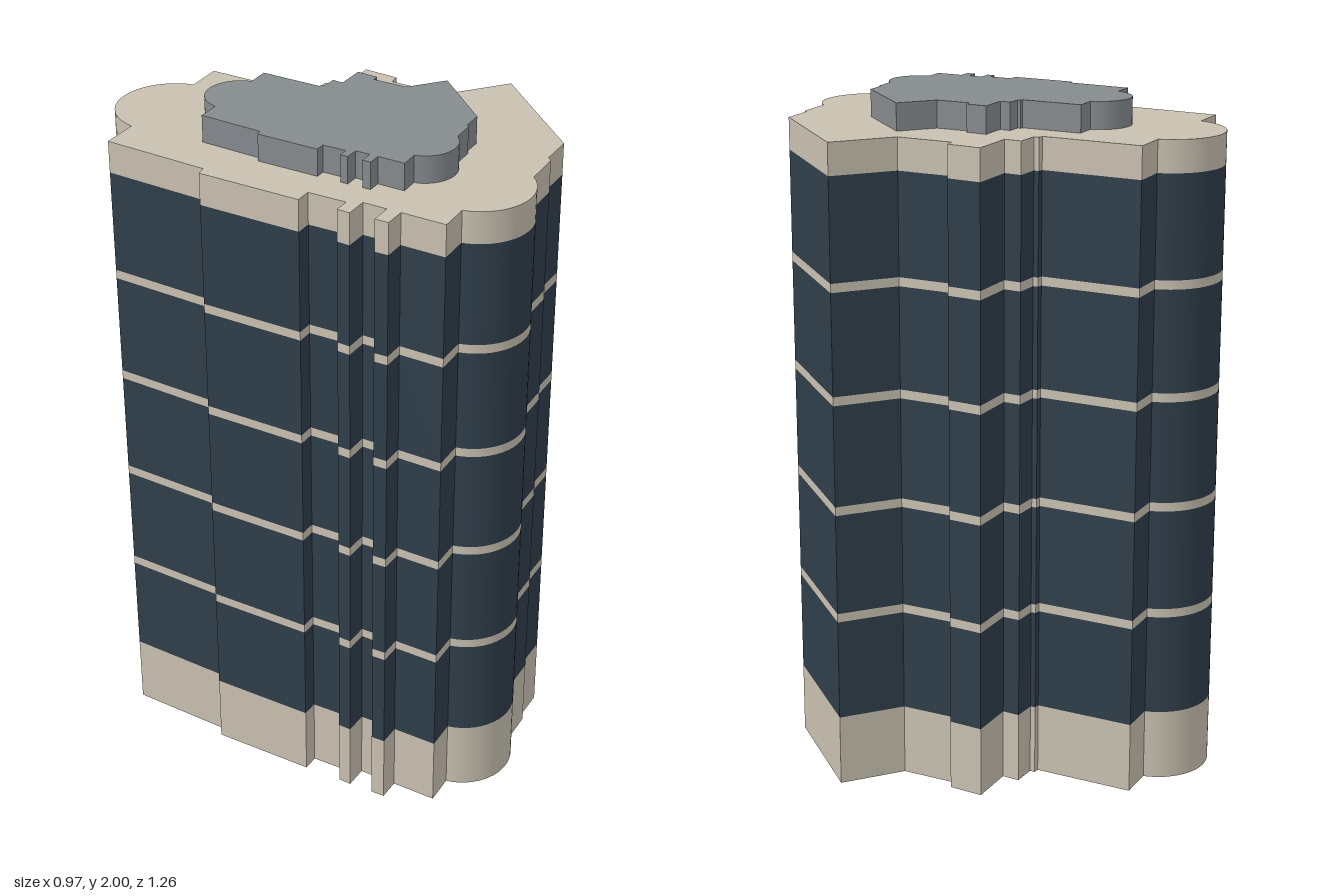
import * as THREE from 'three';
import { toCreasedNormals } from 'three/addons/utils/BufferGeometryUtils.js';

const concrete = new THREE.MeshStandardMaterial({ name: 'concrete', color: 0xc8c0b0 });
const glass = new THREE.MeshStandardMaterial({ name: 'darkGlass', color: 0x2f3e4a });
const roofGrey = new THREE.MeshStandardMaterial({ name: 'roofGrey', color: 0x858a8e });

// Footprint as [x, z]; each side runs between the two rounded bays.
const rightSide = [
  [-0.063, -0.523], [0.043, -0.537], [0.08, -0.24], [0.097, -0.24], [0.099, -0.225],
  [0.17, -0.23], [0.174, -0.178], [0.313, -0.193], [0.32, -0.09], [0.29, -0.084],
  [0.312, 0.084], [0.482, 0.194], [0.243, 0.523], [0.144, 0.537], [0.134, 0.551], [0.025, 0.568],
];
const leftSide = [
  [-0.244, 0.525], [-0.332, 0.538], [-0.347, 0.407], [-0.41, 0.414], [-0.416, 0.374],
  [-0.352, 0.366], [-0.36, 0.296], [-0.427, 0.303], [-0.43, 0.265], [-0.384, 0.26],
  [-0.4, 0.148], [-0.447, 0.153], [-0.484, -0.15], [-0.457, -0.157], [-0.484, -0.47], [-0.374, -0.483],
];

// Rounded bay from one point to another about a centre
function addBay(shape, from, to, [cx, cz]) {
  const angle = ([x, z]) => Math.atan2(cz - z, x - cx);
  const radius = Math.hypot(from[0] - cx, from[1] - cz);
  shape.absarc(cx, -cz, radius, angle(from), angle(to), true);
}

function footprint() {
  const shape = new THREE.Shape();
  rightSide.forEach(([x, z], i) => (i ? shape.lineTo(x, -z) : shape.moveTo(x, -z)));
  addBay(shape, rightSide.at(-1), leftSide[0], [-0.098, 0.477]);
  leftSide.slice(1).forEach(([x, z]) => shape.lineTo(x, -z));
  addBay(shape, leftSide.at(-1), rightSide[0], [-0.215, -0.473]);
  return shape;
}

export function createModel() {
  const group = new THREE.Group();
  group.name = 'tower';
  const shape = footprint();

  function addLayer(name, bottom, top, material, scale = 1, x = 0, z = 0) {
    let geometry = new THREE.ExtrudeGeometry(shape, { depth: top - bottom, bevelEnabled: false, curveSegments: 10 });
    geometry.rotateX(-Math.PI / 2);
    geometry = toCreasedNormals(geometry.scale(scale, 1, scale), 0.3);
    const mesh = new THREE.Mesh(geometry, material);
    mesh.name = name;
    mesh.position.set(x, bottom, z);
    group.add(mesh);
  }

  // Base, then glazed storeys separated by thin flush slabs
  addLayer('base', 0, 0.212, concrete);
  const pitch = 0.3283, glassHeight = 0.302;
  for (let i = 0; i < 5; i++) {
    const y = 0.212 + i * pitch;
    addLayer(`glazing${i + 1}`, y, y + glassHeight, glass);
    if (i < 4) addLayer(`floorSlab${i + 1}`, y + glassHeight, y + pitch, concrete);
  }

  // Parapet and the smaller plant room of the same outline
  addLayer('parapet', 0.212 + 4 * pitch + glassHeight, 1.921, concrete);
  addLayer('roofPlantRoom', 1.921, 2, roofGrey, 0.6, -0.044, 0.02);
  return group;
}
